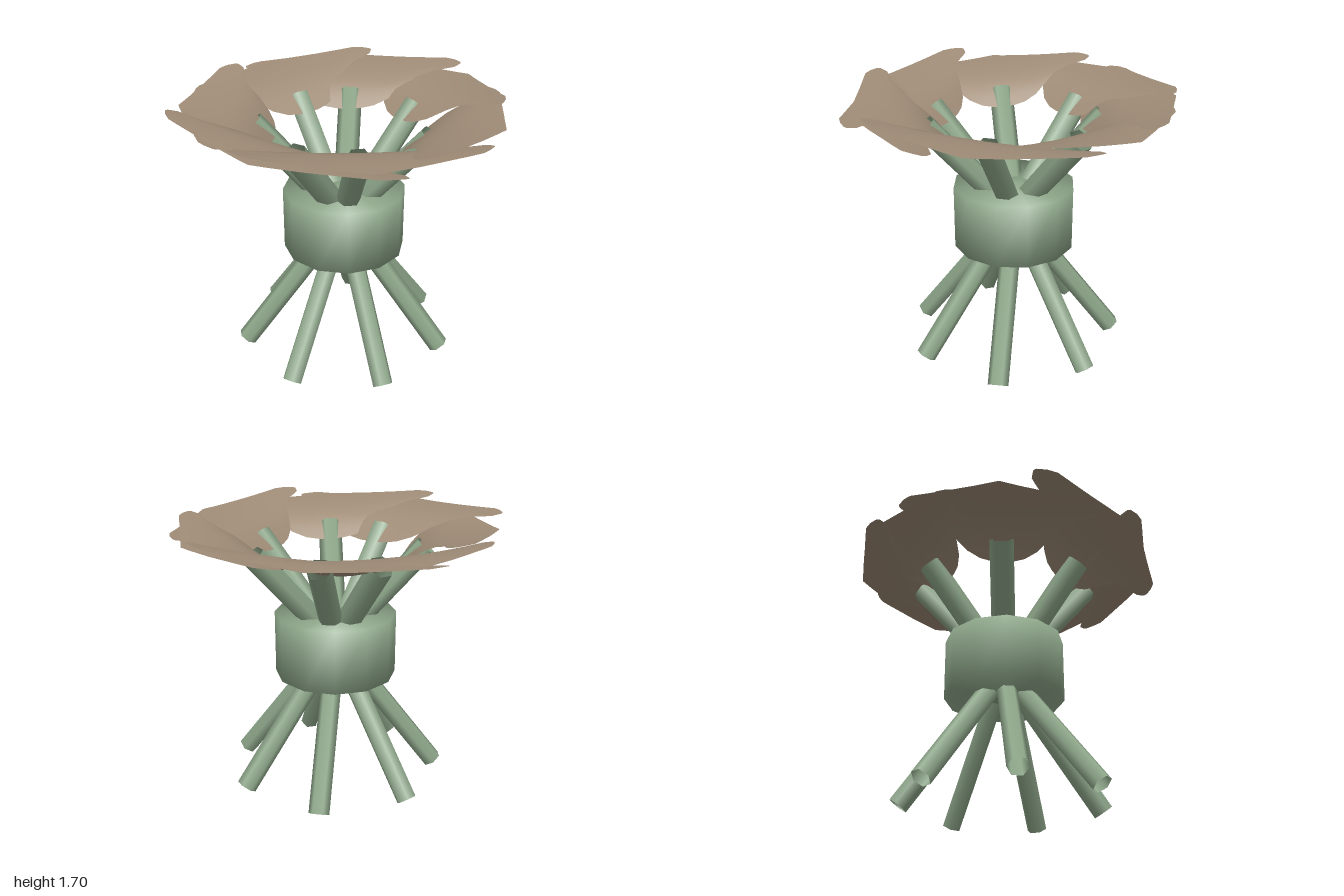
import * as THREE from 'three';
import { mergeVertices } from 'three/addons/utils/BufferGeometryUtils.js';

const green = new THREE.MeshStandardMaterial({ color: 0x8fa88b, side: THREE.DoubleSide });
green.name = 'sage green';
const tan = new THREE.MeshStandardMaterial({ color: 0xa08d78, side: THREE.DoubleSide });
tan.name = 'dusty tan';

const HUB_Y = 0.9;

// Half outline of a petal: [distance along the rim, inner radius, outer radius]
const HALF = [
  [0, 0.412, 0.98], [0.08, 0.415, 0.956], [0.16, 0.427, 0.931], [0.25, 0.46, 0.905],
  [0.35, 0.53, 0.873], [0.42, 0.59, 0.851], [0.53, 0.635, 0.818],
  [0.62, 0.64, 0.79], [0.67, 0.645, 0.75], [0.71, 0.68, 0.7],
];
const OUTLINE = [
  ...HALF.slice(1).reverse().map(([v, i, o]) => [-v, i, o]),
  ...HALF,
];

// Height of a petal over the radius: steep inside, flat outside
const RISE = [
  [0.41, 1.455], [0.5, 1.535], [0.56, 1.577], [0.65, 1.61], [0.75, 1.626], [0.85, 1.636], [1, 1.642],
];
function rise(u) {
  const k = RISE.findIndex(([r]) => r >= u);
  const [r0, y0] = RISE[k - 1];
  const [r1, y1] = RISE[k];
  return THREE.MathUtils.mapLinear(u, r0, r1, y0, y1);
}

// Domed petal that curls up at both ends, one end higher to overlap the next
function petalGeometry(span) {
  const cols = 10;
  const geo = new THREE.PlaneGeometry(1, 1, cols, OUTLINE.length - 1);
  const pos = geo.attributes.position;
  OUTLINE.forEach(([v, inner, outer], row) => {
    for (let c = 0; c <= cols; c++) {
      const u = THREE.MathUtils.lerp(inner, outer, c / cols);
      const y = rise(u) + 0.085 * v * v + 0.045 * v;
      pos.setXYZ(row * (cols + 1) + c, u, y, v * span);
    }
  });
  geo.computeVertexNormals();
  return geo;
}

// Open six-sided tube from the hub centre to a point at (x, y) in its own plane
function tubeGeometry(radius, x, y) {
  const dir = new THREE.Vector3(x, y - HUB_Y, 0);
  const length = dir.length();
  const geo = new THREE.CylinderGeometry(radius, radius, length, 6, 1, true);
  geo.translate(0, length / 2, 0);
  geo.rotateZ(-Math.atan2(dir.x, dir.y));
  geo.translate(0, HUB_Y, 0);
  return geo;
}

// Drum with shading that runs smoothly over its rims
function hubGeometry() {
  const geo = new THREE.CylinderGeometry(0.38, 0.38, 0.4, 12);
  geo.translate(0, HUB_Y, 0);
  geo.deleteAttribute('uv');
  geo.deleteAttribute('normal');
  const smooth = mergeVertices(geo, 0.001);
  smooth.computeVertexNormals();
  return smooth;
}

export function createModel() {
  const group = new THREE.Group();
  group.name = 'flowerStand';

  const add = (name, geo, mat, degrees = 0) => {
    const mesh = new THREE.Mesh(geo, mat);
    mesh.name = name;
    mesh.rotation.y = THREE.MathUtils.degToRad(degrees);
    mesh.position.set(0.005, 0, 0.003);
    group.add(mesh);
  };

  add('hub', hubGeometry(), green);

  // Seven evenly spread legs
  const leg = tubeGeometry(0.064, 0.65, 0.032);
  for (let i = 0; i < 7; i++) add('leg', leg, green, (i * 360) / 7);

  // Seven unevenly spread arms, each carrying a petal: [angle, petal span]
  const arm = tubeGeometry(0.075, 0.55, 1.53);
  const blooms = [
    [0, 0.86], [51, 1], [88, 0.92], [146, 0.87], [205.5, 1.08], [244, 1], [302, 0.95],
  ];
  for (const [angle, span] of blooms) {
    add('arm', arm, green, angle);
    add('petal', petalGeometry(span), tan, angle);
  }
  return group;
}
